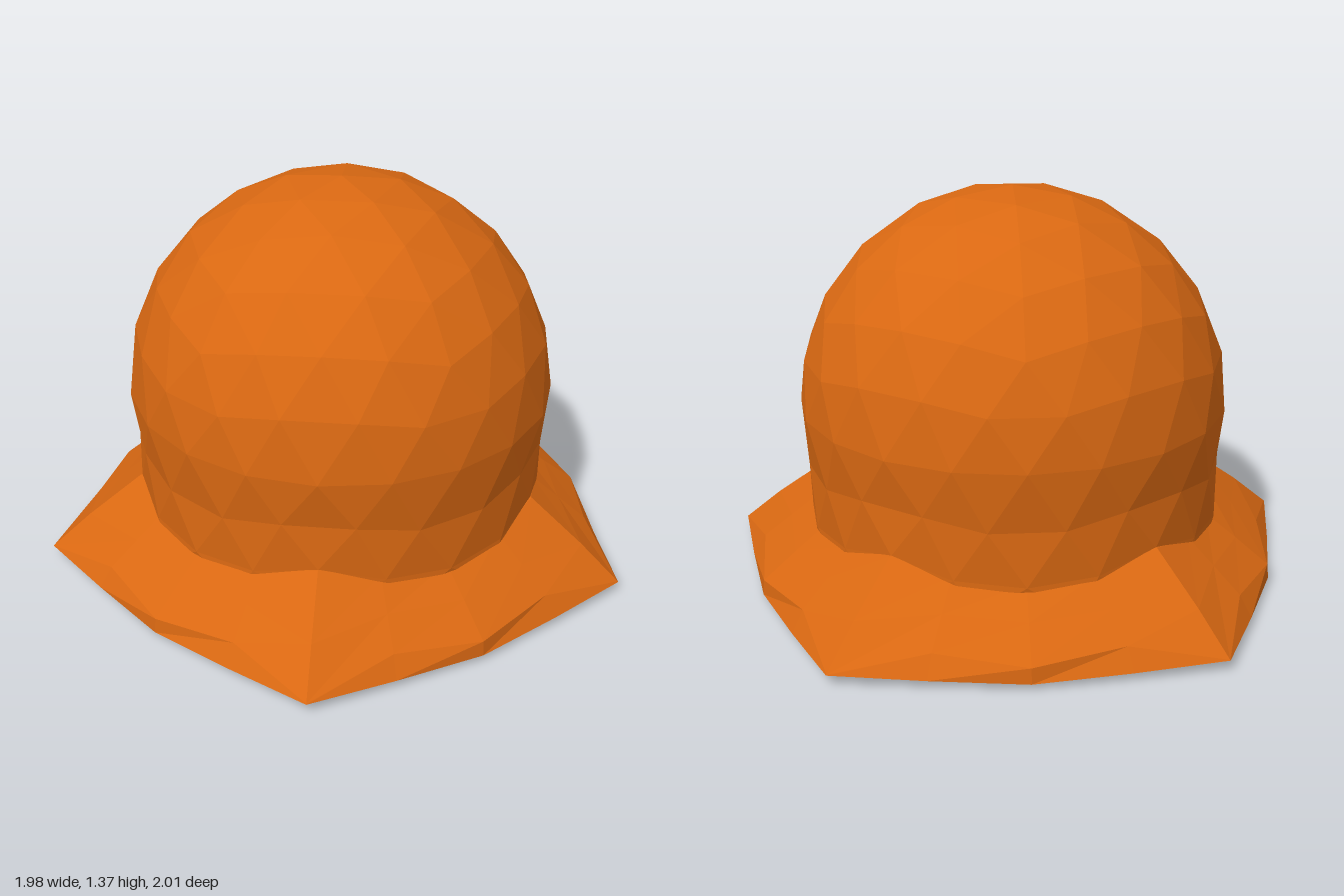
import * as THREE from 'three';

const CX = 0.06; // the body axis sits slightly toward +x

// Joins closed rings of points, low to high, into a faceted band
function band(rings) {
  const pos = [];
  for (let i = 0; i < rings.length - 1; i++) {
    const lo = rings[i], hi = rings[i + 1], n = lo.length;
    for (let j = 0; j < n; j++) {
      const k = (j + 1) % n;
      pos.push(...lo[j], ...hi[j], ...lo[k], ...lo[k], ...hi[j], ...hi[k]);
    }
  }
  const g = new THREE.BufferGeometry();
  g.setAttribute('position', new THREE.Float32BufferAttribute(pos, 3));
  g.computeVertexNormals();
  return g;
}

// Five-fold ring: [radius, height] at the tip, quarter and middle of each side
function starRing(tip, quarter, mid, quarterAngle = 19.5) {
  const ring = [];
  for (let i = 0; i < 5; i++) {
    const steps = [[0, mid], [quarterAngle, quarter], [36, tip], [72 - quarterAngle, quarter]];
    for (const [deg, [r, y]] of steps) {
      const a = THREE.MathUtils.degToRad(i * 72 + deg);
      ring.push([CX + r * Math.cos(a), y, r * Math.sin(a)]);
    }
  }
  return ring;
}

// Icosphere with a vertex at the pole, its lower part flared to a near-cylinder
function domeGeometry() {
  const R = 0.74;
  let g = new THREE.IcosahedronGeometry(1, 1);
  const p = Array.from(g.attributes.position.array);
  g = new THREE.PolyhedronGeometry(p, p.map((_, i) => i).slice(0, p.length / 3), R, 1);
  g.rotateZ(-Math.atan(2 / (1 + Math.sqrt(5))));
  const v = g.attributes.position;
  for (let i = 0; i < v.count; i++) {
    let x = v.getX(i), y = v.getY(i), z = v.getZ(i);
    const r = Math.hypot(x, z);
    if (y < -0.2 && r > 0.3) {
      const s = Math.max(1, 0.72 / r);
      x *= s;
      z *= s;
    }
    y = Math.max(y, -0.5);
    v.setXYZ(i, x, y, z);
  }
  g.computeVertexNormals();
  return g.translate(CX, 0.63, 0);
}

export function createModel() {
  const group = new THREE.Group();
  const orange = new THREE.MeshStandardMaterial({ color: 0xd96812, flatShading: true });
  const blue = new THREE.MeshStandardMaterial({ color: 0x05418f, flatShading: true });

  const add = (name, geometry, material) => {
    const mesh = new THREE.Mesh(geometry, material);
    mesh.name = name;
    group.add(mesh);
  };

  add('dome', domeGeometry(), orange);

  // Rim shared by the skirt and the underside
  const rim = starRing([1.056, 0.04], [0.945, 0.03], [0.92, 0.022]);

  // Flared skirt with five pointed corners
  add('skirt', band([
    rim,
    starRing([1.054, 0.042], [0.9, 0.1], [0.915, 0.075]),
    starRing([0.915, 0.16], [0.8, 0.18], [0.8, 0.165]),
    starRing([0.726, 0.3], [0.7, 0.26], [0.694, 0.243]),
    starRing([0.6, 0.33], [0.6, 0.3], [0.6, 0.28]),
  ]), orange);

  // Shallow underside
  add('underside', band([
    starRing([0, 0], [0, 0], [0, 0]),
    starRing([0.65, 0], [0.63, 0], [0.62, 0]),
    rim,
  ]), blue);

  return group;
}
